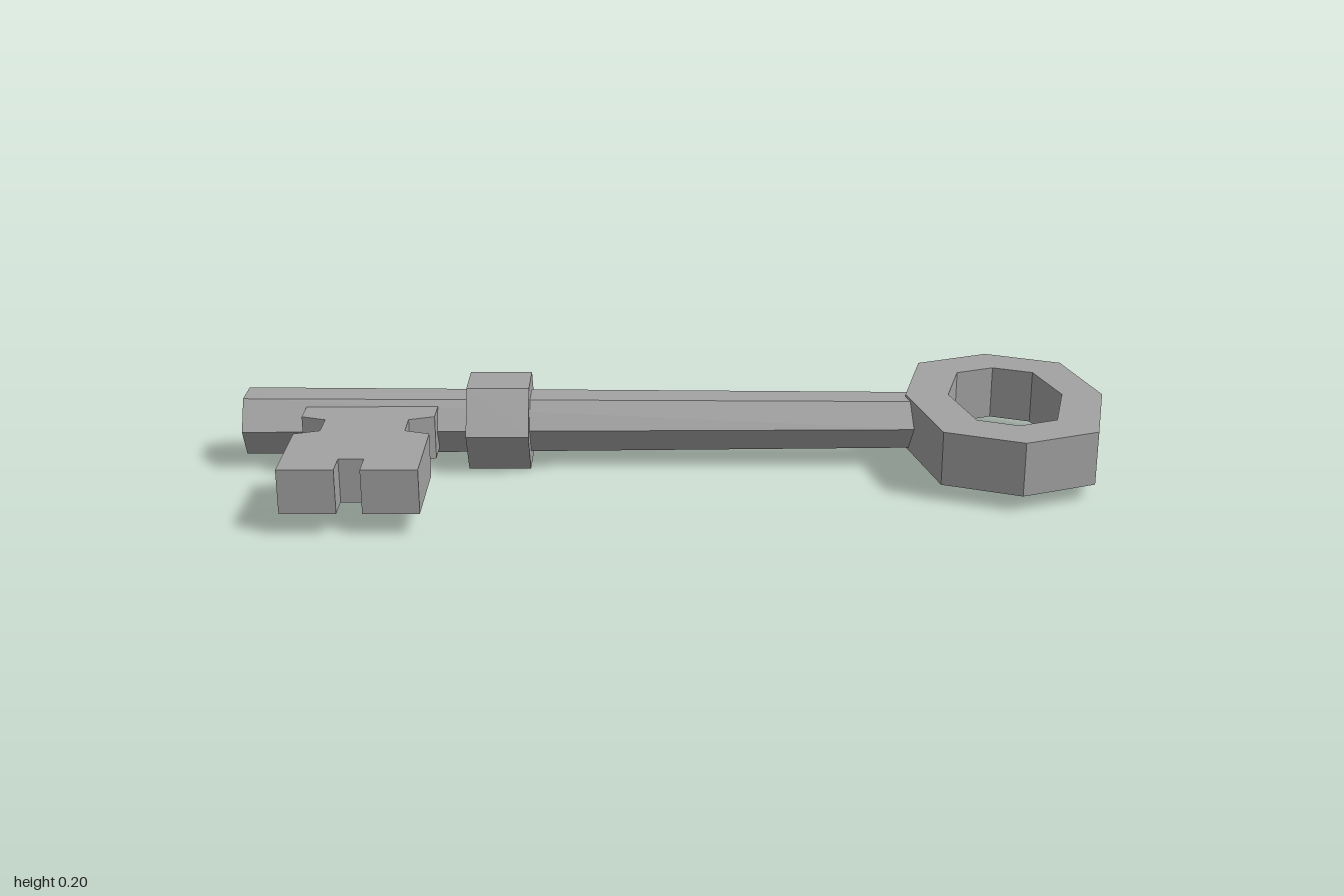
import * as THREE from 'three';

const steel = new THREE.MeshStandardMaterial({ color: 0xa3a3a3, flatShading: true });
steel.name = 'grey steel';

const AXIS_Y = 0.099, AXIS_Z = -0.071;

function addMesh(group, geometry, name) {
  const mesh = new THREE.Mesh(geometry, steel);
  mesh.name = name;
  group.add(mesh);
}

// Hexagonal bar along x with flats on top and bottom
function hexBar(x0, x1, r0, r1) {
  const g = new THREE.CylinderGeometry(r1, r0, x1 - x0, 6);
  g.rotateZ(-Math.PI / 2);
  g.translate((x0 + x1) / 2, AXIS_Y, AXIS_Z);
  return g;
}

// Plate drawn as (x, z) points and extruded between two heights
function plate(outline, y0, y1, hole) {
  const toPoints = (list) => list.map(([x, z]) => new THREE.Vector2(x, z));
  const shape = new THREE.Shape(toPoints(outline));
  if (hole) shape.holes.push(new THREE.Path(toPoints(hole)));
  const g = new THREE.ExtrudeGeometry(shape, { depth: y1 - y0, bevelEnabled: false });
  g.rotateX(Math.PI / 2);
  g.translate(0, y1, 0);
  return g;
}

// Stretched octagon, mirrored in x about the bow centre
function octagon(cx, rx, dx, zBack, zBackSide, zFrontSide, zFront) {
  return [
    [cx, zBack], [cx + dx, zBackSide], [cx + rx, AXIS_Z], [cx + dx, zFrontSide],
    [cx, zFront], [cx - dx, zFrontSide], [cx - rx, AXIS_Z], [cx - dx, zBackSide],
  ];
}

export function createModel() {
  const key = new THREE.Group();
  key.name = 'key';

  // Tapered shaft and its collar
  addMesh(key, hexBar(-1, 0.575, 0.079, 0.066), 'shaft');
  addMesh(key, hexBar(-0.48, -0.336, 0.115, 0.115), 'collar');

  // Ring-shaped bow
  const outer = octagon(0.77, 0.23, 0.173, -0.369, -0.3, 0.178, 0.247);
  const inner = octagon(0.773, 0.133, 0.091, -0.263, -0.227, 0.1, 0.137);
  addMesh(key, plate(outer, 0.036, 0.162, inner), 'bow');

  // Notched bit, mirrored about its centre line
  const cx = -0.701;
  const half = [
    [0.152, -0.03], [0.152, 0.042], [0.095, 0.062], [0.095, 0.132],
    [0.152, 0.152], [0.152, 0.369], [0.028, 0.369], [0.028, 0.305],
  ];
  const bit = [
    ...half.map(([x, z]) => [cx + x, z]),
    ...half.slice().reverse().map(([x, z]) => [cx - x, z]),
  ];
  addMesh(key, plate(bit, 0.048, 0.15), 'bit');

  return key;
}
